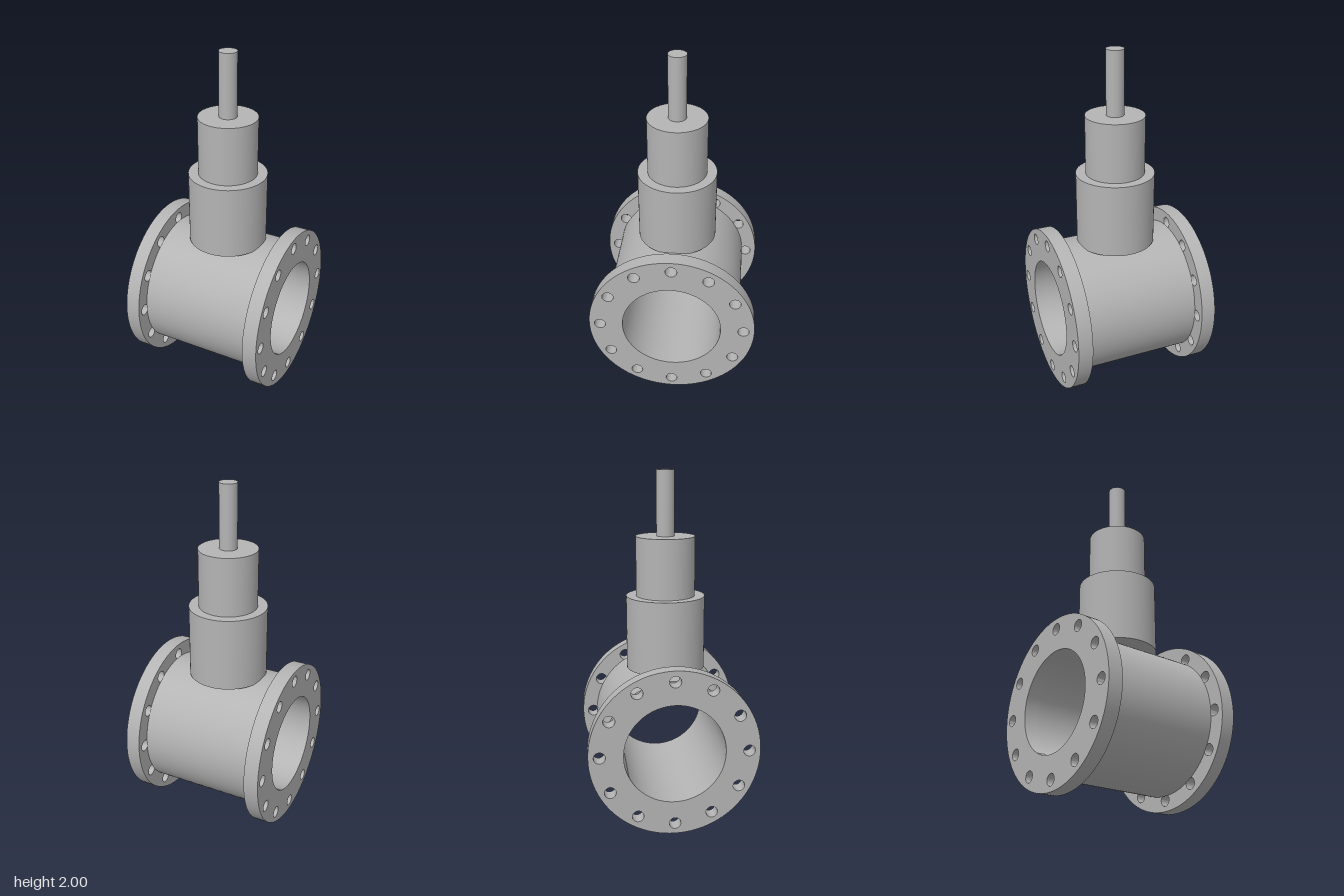
import * as THREE from 'three';
import { toCreasedNormals } from 'three/addons/utils/BufferGeometryUtils.js';

const AXIS_Y = 0.482;   // height of the pipe axis
const BORE = 0.286;
const FLANGE_R = 0.482;
const BODY_R = 0.396;
const BODY_HALF = 0.34;
const FLANGE_T = 0.085;

// Ring extruded along x, centred on the origin, with optional bolt holes
function ring(outer, length, boltCount = 0) {
  const shape = new THREE.Shape().absarc(0, 0, outer, 0, Math.PI * 2, false);
  shape.holes.push(new THREE.Path().absarc(0, 0, BORE, 0, Math.PI * 2, true));
  for (let i = 0; i < boltCount; i++) {
    const a = (i / boltCount) * Math.PI * 2;
    const hole = new THREE.Path();
    hole.absarc(0.419 * Math.cos(a), 0.419 * Math.sin(a), 0.033, 0, Math.PI * 2, true);
    shape.holes.push(hole);
  }
  const geo = new THREE.ExtrudeGeometry(shape, { depth: length, bevelEnabled: false, curveSegments: 48 });
  geo.translate(0, 0, -length / 2);
  geo.rotateY(Math.PI / 2);
  return toCreasedNormals(geo, 0.6);
}

export function createModel() {
  const model = new THREE.Group();
  model.name = 'flangedValve';
  const steel = new THREE.MeshStandardMaterial({ color: 0xb4b4b4 });
  steel.name = 'grey steel';

  const add = (name, geo, x, y) => {
    const mesh = new THREE.Mesh(geo, steel);
    mesh.name = name;
    mesh.position.set(x, y, 0);
    model.add(mesh);
  };

  // Hollow pipe body with a drilled flange at each end
  add('pipeBody', ring(BODY_R, BODY_HALF * 2), 0, AXIS_Y);
  const flange = ring(FLANGE_R, FLANGE_T, 12);
  for (const [name, side] of [['leftFlange', 1], ['rightFlange', -1]]) {
    add(name, flange, side * (BODY_HALF + FLANGE_T / 2), AXIS_Y);
  }

  // Stepped bonnet and stem stacked on top: radius, bottom, top
  const steps = [
    ['lowerBonnet', 0.226, 0.868, 1.293],
    ['upperBonnet', 0.169, 1.293, 1.633],
    ['stem', 0.051, 1.633, 2],
  ];
  for (const [name, r, y0, y1] of steps) {
    add(name, new THREE.CylinderGeometry(r, r, y1 - y0, 64), 0, (y0 + y1) / 2);
  }
  return model;
}
